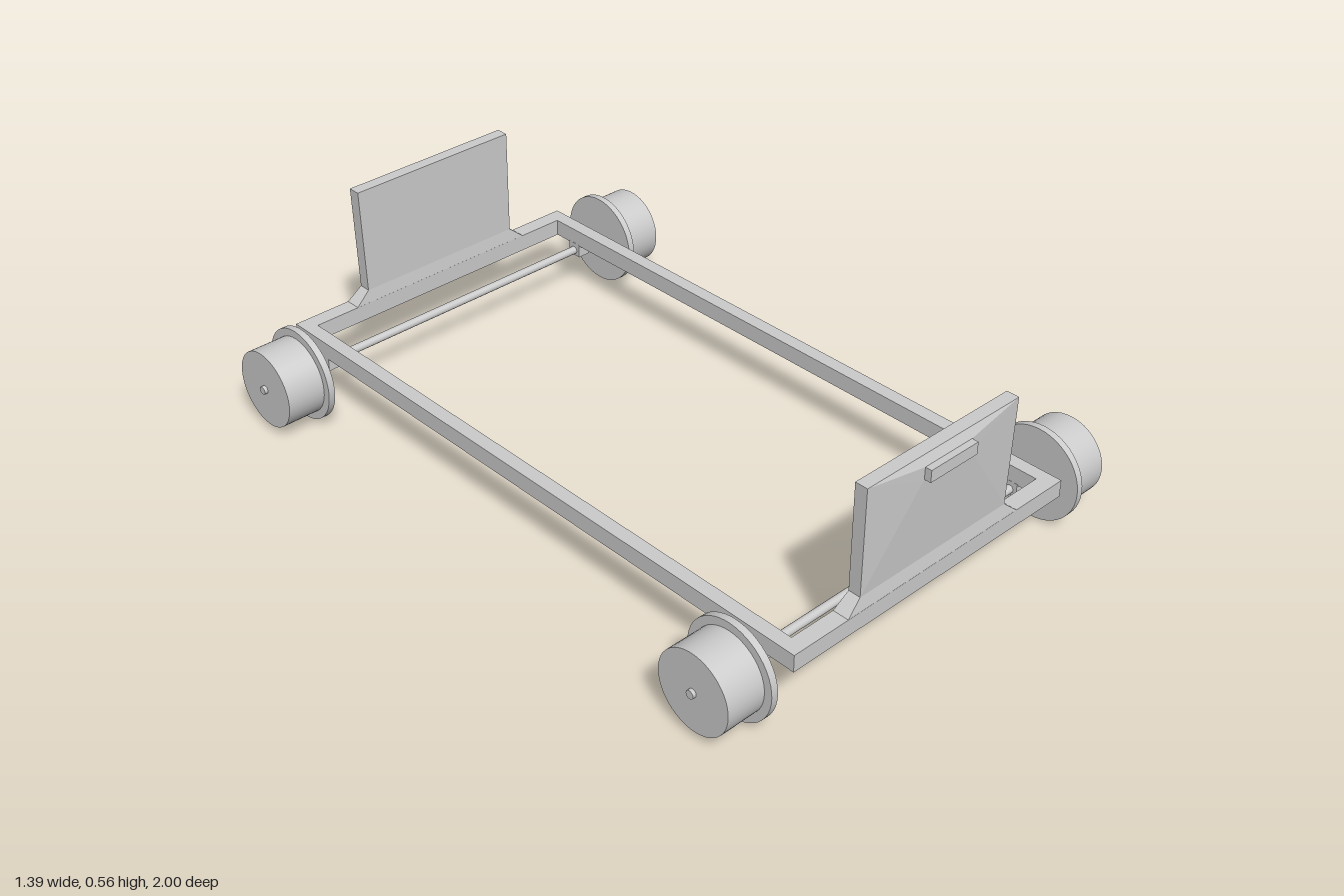
import * as THREE from 'three';
import { ConvexGeometry } from 'three/addons/geometries/ConvexGeometry.js';

const material = new THREE.MeshStandardMaterial({ color: 0xcccccc });
const AXLE_Y = 0.14, AXLE_Z = 0.847;

function add(parent, name, geometry, x = 0, y = 0, z = 0) {
  const mesh = new THREE.Mesh(geometry, material);
  mesh.name = name;
  mesh.position.set(x, y, z);
  parent.add(mesh);
  return mesh;
}

// Cylinder lying along x
const rod = (radius, length, sides) =>
  new THREE.CylinderGeometry(radius, radius, length, sides).rotateZ(Math.PI / 2);

// Four corners of a rectangle at height y
const level = (halfX, y, z0, z1) => [
  new THREE.Vector3(-halfX, y, z0), new THREE.Vector3(halfX, y, z0),
  new THREE.Vector3(halfX, y, z1), new THREE.Vector3(-halfX, y, z1),
];

function rectangle(target, halfX, halfY) {
  target.moveTo(-halfX, -halfY);
  target.lineTo(halfX, -halfY);
  target.lineTo(halfX, halfY);
  target.lineTo(-halfX, halfY);
  target.closePath();
  return target;
}

// Open rectangular frame, extruded upward
function frameGeometry() {
  const shape = rectangle(new THREE.Shape(), 0.488, 0.972);
  shape.holes.push(rectangle(new THREE.Path(), 0.447, 0.924));
  return new THREE.ExtrudeGeometry(shape, { depth: 0.05, bevelEnabled: false })
    .rotateX(-Math.PI / 2);
}

// Upright board with flared foot, swelling outward to a small plate
function endBoard() {
  const group = new THREE.Group();
  group.name = 'endBoard';
  add(group, 'boardFoot', new ConvexGeometry([
    ...level(0.31, 0.21, 0.924, 0.972), ...level(0.263, 0.25, 0.929, 0.965),
  ]));
  add(group, 'boardPanel', new ConvexGeometry([
    ...level(0.263, 0.249, 0.929, 0.965), ...level(0.268, 0.565, 0.932, 0.969),
    ...level(0.083, 0.505, 0.94, 0.981), ...level(0.083, 0.54, 0.94, 0.981),
  ]));
  add(group, 'boardPlate', new THREE.BoxGeometry(0.166, 0.035, 0.03), 0, 0.5225, 0.985);
  return group;
}

// Flanged wheel with its flange on the inner side
function wheel(side) {
  const group = new THREE.Group();
  group.name = 'wheel';
  add(group, 'tread', rod(0.114, 0.125, 48), side * 0.6225);
  add(group, 'flange', rod(0.137, 0.02, 48), side * 0.56);
  return group;
}

export function createModel() {
  const model = new THREE.Group();
  model.name = 'wheeledFrame';
  add(model, 'frame', frameGeometry(), 0, 0.162, 0);

  for (const end of [1, -1]) {
    const board = endBoard();
    board.rotation.y = end > 0 ? 0 : Math.PI;
    model.add(board);

    // Axle, bearing blocks and wheels
    const axleSet = new THREE.Group();
    axleSet.name = 'axleSet';
    axleSet.position.set(0, AXLE_Y, end * AXLE_Z);
    add(axleSet, 'axle', rod(0.012, 1.39, 20));
    for (const side of [1, -1]) {
      add(axleSet, 'bearingBlock', new THREE.BoxGeometry(0.041, 0.042, 0.045), side * 0.467, 0.004, 0);
      axleSet.add(wheel(side));
    }
    model.add(axleSet);
  }
  return model;
}
